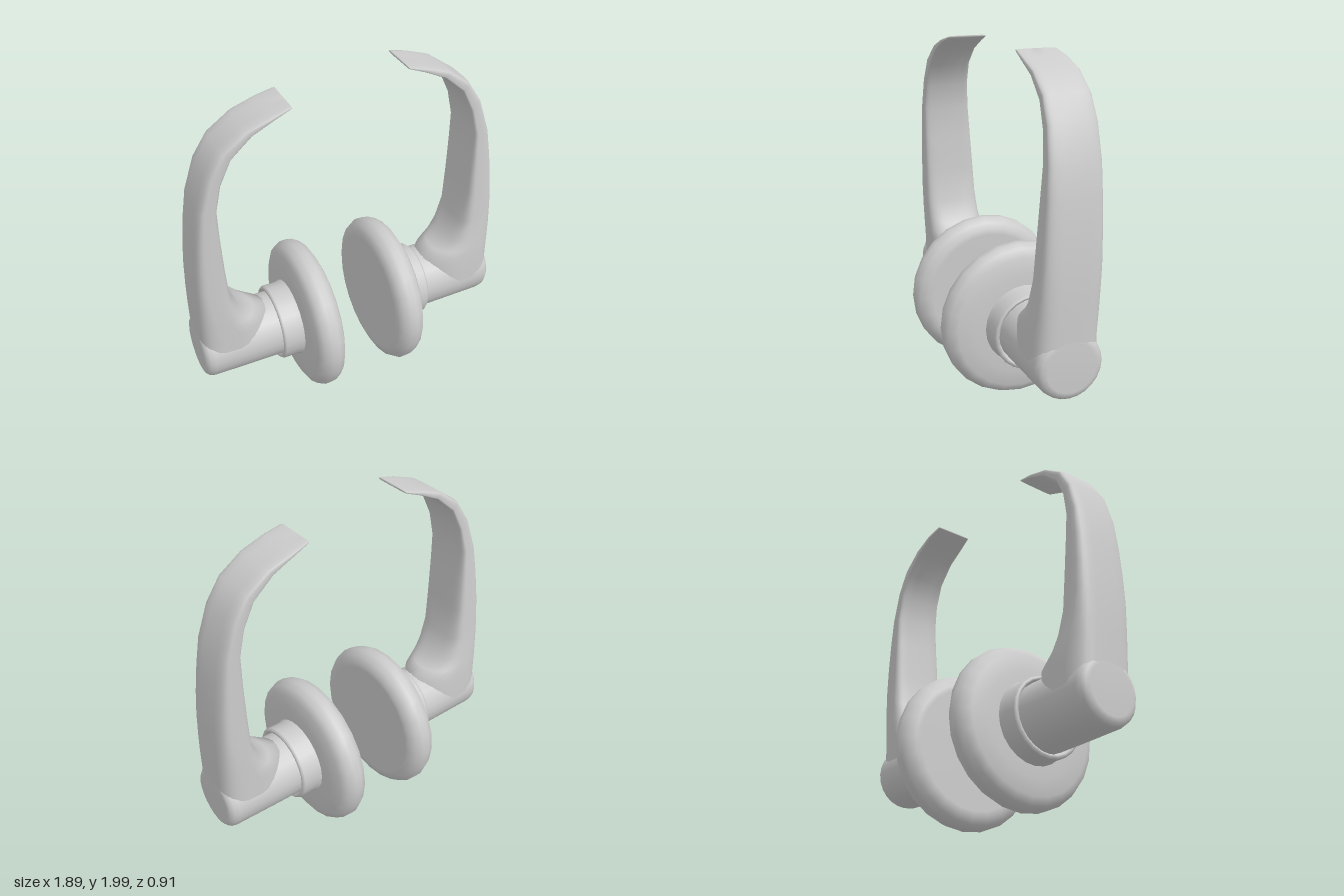
import * as THREE from 'three';

const AXIS_Y = 0.467; // height of the spindle axis

// Turned part around the spindle; profile points are [radius, x]
function turned(name, profile, material, sides = 24) {
  const geo = new THREE.LatheGeometry(profile.map(([r, x]) => new THREE.Vector2(r, x)), sides);
  geo.rotateZ(-Math.PI / 2).translate(0, AXIS_Y, 0);
  const mesh = new THREE.Mesh(geo, material);
  mesh.name = name;
  return mesh;
}

// Each section: inner x, inner y, outer x, outer y, front z, inner-side exponent
const SECTIONS = [
  [0.52, 0.47, 0.945, 0.47, 0.19, 1.0],
  [0.50, 0.652, 0.945, 0.60, 0.188, 1.5],
  [0.60, 0.685, 0.945, 0.75, 0.177, 1.0],
  [0.685, 0.75, 0.943, 0.88, 0.166, 0.7],
  [0.748, 0.89, 0.938, 1.01, 0.155, 0.5],
  [0.766, 1.10, 0.927, 1.17, 0.142, 0.4],
  [0.776, 1.32, 0.908, 1.34, 0.127, 0.35],
  [0.78, 1.50, 0.88, 1.51, 0.113, 0.35],
  [0.748, 1.65, 0.818, 1.705, 0.097, 0.35],
  [0.685, 1.785, 0.735, 1.835, 0.086, 0.35],
  [0.57, 1.89, 0.60, 1.93, 0.078, 0.35],
  [0.45, 1.95, 0.465, 1.975, 0.073, 0.35],
  [0.355, 1.988, 0.358, 2.0, 0.062, 0.35],
];

// Curved blade lofted through rounded sections
function bladeGeometry(ring = 32) {
  const pos = [], index = [];
  const power = (v, e) => Math.sign(v) * Math.abs(v) ** e;
  SECTIONS.forEach(([ix, iy, ox, oy, zf, e], i) => {
    const zb = i === SECTIONS.length - 1 ? -0.17 : -0.182;
    for (let j = 0; j < ring; j++) {
      const t = (j / ring) * Math.PI * 2, c = Math.cos(t), s = Math.sin(t);
      const u = (1 + power(c, c < 0 ? Math.min(e, 1) : 0.5)) / 2;
      const v = power(s, c < 0 ? Math.max(e, 0.4) : 0.5);
      pos.push(ix + (ox - ix) * u, iy + (oy - iy) * u, (zf + zb) / 2 + ((zf - zb) / 2) * v);
      if (i > 0) {
        const k = (j + 1) % ring, a = (i - 1) * ring + j, b = (i - 1) * ring + k;
        index.push(a, a + ring, b, b, a + ring, b + ring);
      }
    }
  });
  // Tip cap
  const last = (SECTIONS.length - 1) * ring;
  for (let j = 1; j < ring - 1; j++) index.push(last, last + j + 1, last + j);
  const geo = new THREE.BufferGeometry();
  geo.setAttribute('position', new THREE.Float32BufferAttribute(pos, 3));
  geo.setIndex(index);
  geo.computeVertexNormals();
  return geo;
}

function leverHandle(material) {
  const handle = new THREE.Group();
  // Wall plate with a rounded rim
  handle.add(turned('rosePlate', [
    [0, 0.172], [0.36, 0.172], [0.39, 0.176], [0.43, 0.195], [0.455, 0.235], [0.455, 0.275],
    [0.435, 0.318], [0.39, 0.343], [0.3, 0.354], [0.2, 0.36], [0, 0.36],
  ], material));
  // Collar with a lip around the stem
  handle.add(turned('collar', [
    [0.235, 0.345], [0.225, 0.39], [0.226, 0.47], [0.216, 0.482], [0.203, 0.482], [0.195, 0.455], [0.18, 0.45],
  ], material));
  // Round stem with a softened outer end
  handle.add(turned('stem', [
    [0.193, 0.35], [0.193, 0.60], [0.19, 0.89], [0.183, 0.92], [0.165, 0.938], [0.14, 0.945], [0, 0.945],
  ], material));
  const blade = new THREE.Mesh(bladeGeometry(), material);
  blade.name = 'leverBlade';
  handle.add(blade);
  return handle;
}

export function createModel() {
  const model = new THREE.Group();
  model.name = 'leverHandlePair';
  const material = new THREE.MeshStandardMaterial({ color: 0xcccccc });
  // The second handle is the first turned half way round
  ['leftHandle', 'rightHandle'].forEach((name, i) => {
    const handle = leverHandle(material);
    handle.name = name;
    handle.rotation.y = i * Math.PI;
    model.add(handle);
  });
  model.position.y = -0.012 + 0.012;
  return model;
}
